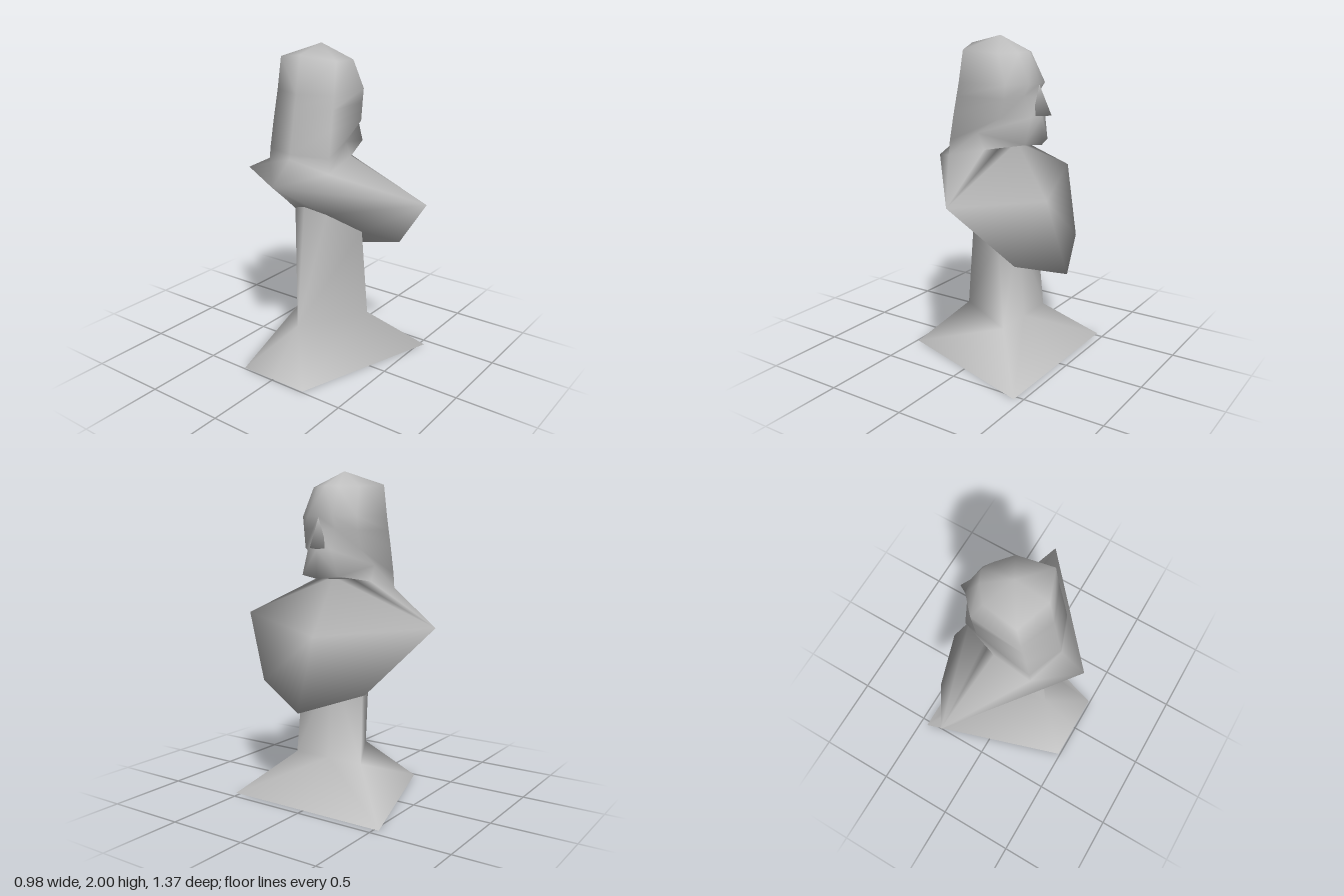
import * as THREE from 'three';
import { toCreasedNormals } from 'three/addons/utils/BufferGeometryUtils.js';

// Builds a smooth symmetric surface from the faces of its +z half
function mirrored(points, faces) {
  const pos = [];
  for (const side of [1, -1]) {
    for (const face of faces) {
      for (let k = 1; k < face.length - 1; k++) {
        const tri = [face[0], face[k], face[k + 1]];
        if (side < 0) tri.reverse();
        for (const key of tri) {
          const [x, y, z] = points[key];
          pos.push(x, y, z === 0 ? 0 : z * side);
        }
      }
    }
  }
  const g = new THREE.BufferGeometry();
  g.setAttribute('position', new THREE.Float32BufferAttribute(pos, 3));
  return toCreasedNormals(g, Math.PI);
}

// Faces of a skin over half sections that run from the front centre to the back centre
function loftFaces(sections) {
  const n = sections[0].length;
  const faces = [];
  for (let i = 0; i < sections.length - 1; i++) {
    for (let j = 0; j < n - 1; j++) {
      const a = i * n + j;
      faces.push(i === 0 ? [a, a + n + 1, a + n] : [a, a + 1, a + n + 1, a + n]);
    }
  }
  return faces;
}

export function createModel() {
  const stone = new THREE.MeshStandardMaterial({ color: 0xc0c0c0 });
  stone.name = 'grey stone';
  const model = new THREE.Group();
  model.name = 'bust';
  const add = (name, points, faces) => {
    const mesh = new THREE.Mesh(mirrored(points, faces), stone);
    mesh.name = name;
    model.add(mesh);
  };

  // Column top, shared by the pedestal and the underside of the chest
  const columnTop = {
    topFront: [0.14, 0.83, 0], topCorner: [0.14, 0.83, 0.22],
    topSide: [-0.1, 0.99, 0.12], topBack: [-0.165, 1.035, 0],
  };

  // Flared foot and tapering column
  const stand = {
    ...columnTop,
    backMid: [-0.49, 0, 0], backCorner: [-0.49, 0, 0.23],
    frontMid: [0.45, 0, 0], frontCorner: [0.45, 0, 0.53],
    waistFront: [0.19, 0.26, 0], waistCorner: [0.19, 0.26, 0.24], waistBack: [-0.24, 0.26, 0],
  };
  add('pedestal', stand, [
    ['backCorner', 'frontCorner', 'waistCorner', 'waistBack'],
    ['backMid', 'backCorner', 'waistBack'],
    ['frontCorner', 'frontMid', 'waistFront', 'waistCorner'],
    ['waistCorner', 'waistFront', 'topFront', 'topCorner'],
    ['waistBack', 'waistCorner', 'topCorner', 'topSide'],
    ['waistBack', 'topSide', 'topBack'],
  ]);
  add('pedestalUnderside', stand, [['backMid', 'frontMid', 'frontCorner', 'backCorner']]);

  // Shoulders and chest, cut off along a slanting underside
  const torso = {
    ...columnTop,
    throat: [0.13, 1.37, 0], neckFront: [0.085, 1.36, 0.11], neckSide: [0.03, 1.345, 0.205],
    napeSide: [-0.22, 1.29, 0.22], nape: [-0.3, 1.36, 0],
    shoulder: [0.11, 1.11, 0.685], chest: [0.34, 1.03, 0],
    rib: [0.35, 0.73, 0.37], tip: [0.49, 0.6, 0], back: [-0.46, 1.23, 0],
  };
  const torsoFaces = [
    ['throat', 'neckFront', 'shoulder'],
    ['neckFront', 'neckSide', 'shoulder'],
    ['throat', 'shoulder', 'chest'],
    ['neckSide', 'napeSide', 'shoulder'],
    ['napeSide', 'back', 'shoulder'],
    ['napeSide', 'nape', 'back'],
    ['chest', 'shoulder', 'rib'],
    ['chest', 'rib', 'tip'],
    ['tip', 'rib', 'topCorner', 'topFront'],
    ['rib', 'shoulder', 'topCorner'],
    ['shoulder', 'topSide', 'topCorner'],
    ['shoulder', 'back', 'topSide'],
    ['back', 'topBack', 'topSide'],
  ];

  // Head sections: crown, forehead, brow, eyes, mouth, jaw, neck
  const crown = [0.01, 2, 0];
  const head = [
    [crown, crown, crown, crown, crown],
    [[0.21, 1.91, 0], [0.18, 1.905, 0.07], [0.1, 1.905, 0.165], [-0.12, 1.92, 0.2], [-0.195, 1.95, 0]],
    [[0.28, 1.73, 0], [0.265, 1.73, 0.09], [0.17, 1.73, 0.195], [-0.15, 1.73, 0.205], [-0.232, 1.73, 0]],
    [[0.275, 1.65, 0], [0.225, 1.66, 0.08], [0.16, 1.65, 0.195], [-0.165, 1.65, 0.208], [-0.248, 1.65, 0]],
    [[0.3, 1.54, 0], [0.275, 1.54, 0.08], [0.14, 1.54, 0.2], [-0.185, 1.54, 0.213], [-0.267, 1.54, 0]],
    [[0.3, 1.37, 0], [0.265, 1.385, 0.13], [-0.02, 1.44, 0.2], [-0.212, 1.38, 0.218], [-0.295, 1.39, 0]],
    [torso.throat, torso.neckFront, torso.neckSide, torso.napeSide, torso.nape],
  ];

  // Head and shoulders share one continuous skin
  add('headAndShoulders', { ...torso, ...head.flat() }, [...torsoFaces, ...loftFaces(head)]);

  // Wedge nose
  const nose = {
    bridge: [0.28, 1.725, 0], tip: [0.365, 1.55, 0],
    wing: [0.27, 1.545, 0.055], base: [0.28, 1.54, 0],
  };
  add('nose', nose, [
    ['bridge', 'wing', 'tip'],
    ['tip', 'wing', 'base'],
  ]);

  return model;
}
